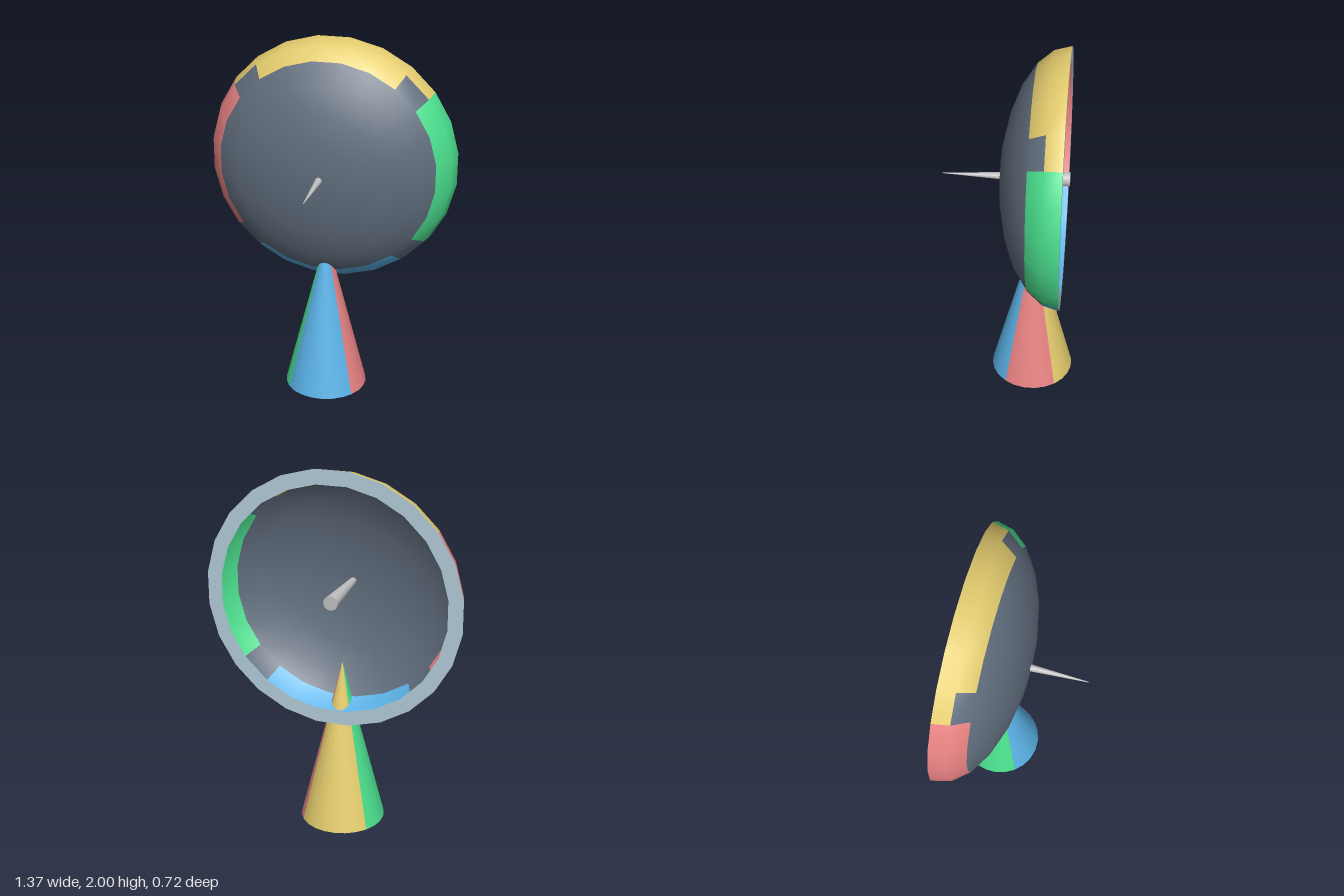
import * as THREE from 'three';

const mat = (name, color, side = THREE.FrontSide) => {
  const m = new THREE.MeshStandardMaterial({ color, side });
  m.name = name;
  return m;
};
const rad = THREE.MathUtils.degToRad;

const SEGS = 24, ROWS = 6;                 // dish facets around and from pole to rim
const DISH_R = 0.691, DISH_DEPTH = 0.346;
const DISH_Y = 1.315, RIM_Z = -0.293, RIM_INNER_R = 0.612;
const CONE_R = 0.231, CONE_H = 0.92, CONE_Z = -0.129;

// Colour index of a dish facet: 0 slate, 1 green, 2 yellow, 3 red, 4 blue
function patch(row, seg) {
  if (row < ROWS - 2) return 0;
  if (row === ROWS - 2 && seg % 6 === 3) return 0;   // notches between the patches
  if (seg <= 2 || seg >= 22) return 1;
  if (seg <= 9) return 2;
  if (seg <= 14) return 3;
  return 4;
}

// Flattened half sphere with its pole towards +z, grouped by patch colour
function bowl() {
  const g = new THREE.SphereGeometry(DISH_R, SEGS, ROWS, Math.PI - rad(7.5), Math.PI * 2, 0, Math.PI / 2);
  g.rotateX(Math.PI / 2);
  g.scale(1, 1, DISH_DEPTH / DISH_R);
  let start = 0;
  for (let row = 0; row < ROWS; row++) {
    const count = row === 0 ? 3 : 6;
    for (let seg = 0; seg < SEGS; seg++) {
      g.addGroup(start, count, patch(row, seg));
      start += count;
    }
  }
  return g;
}

export function createModel() {
  const slate = mat('slate', 0x606d7d, THREE.DoubleSide);
  const green = mat('green', 0x4be08e, THREE.DoubleSide);
  const yellow = mat('yellow', 0xe4cc6e, THREE.DoubleSide);
  const red = mat('red', 0xe78282, THREE.DoubleSide);
  const blue = mat('blue', 0x5bb3e8, THREE.DoubleSide);
  const rimGrey = mat('rimGrey', 0xb2ccd8, THREE.DoubleSide);
  const steel = mat('steel', 0xc0c0c0);

  const model = new THREE.Group();
  model.name = 'dishOnStand';
  const add = (parent, name, geometry, material, x, y, z) => {
    const m = new THREE.Mesh(geometry, material);
    m.name = name;
    m.position.set(x, y, z);
    parent.add(m);
  };

  // Dish: thin shell open to the back, with a flat ring around its mouth
  const dish = new THREE.Group();
  dish.name = 'dish';
  dish.position.set(0, DISH_Y, RIM_Z);
  model.add(dish);
  add(dish, 'dishShell', bowl(), [slate, green, yellow, red, blue], 0, 0, 0);
  const rim = new THREE.RingGeometry(RIM_INNER_R, DISH_R, SEGS, 1, rad(7.5));
  rim.rotateY(Math.PI);
  add(dish, 'dishRim', rim, rimGrey, 0, 0, 0);

  // Needle through the middle of the dish, pointing forward
  const back = -0.314, tip = 0.358;
  const needle = new THREE.CylinderGeometry(0.002, 0.039, tip - back, 16);
  needle.rotateX(Math.PI / 2);
  add(model, 'needle', needle, steel, 0, DISH_Y, (tip + back) / 2);

  // Cone stand in four coloured sectors, with a closed base
  const stand = new THREE.Group();
  stand.name = 'stand';
  stand.position.set(0, 0, CONE_Z);
  model.add(stand);
  const sectors = [
    ['standFront', blue, -52.5, 7],
    ['standLeft', red, 52.5, 5],
    ['standBack', yellow, 127.5, 7],
    ['standRight', green, 232.5, 5],
  ];
  for (const [name, material, from, n] of sectors) {
    const g = new THREE.ConeGeometry(CONE_R, CONE_H, n, 1, true, rad(from), rad(15 * n));
    add(stand, name, g, material, 0, CONE_H / 2, 0);
  }
  const base = new THREE.CircleGeometry(CONE_R, SEGS, rad(7.5));
  base.rotateX(Math.PI / 2);
  add(stand, 'standBase', base, slate, 0, 0, 0);

  return model;
}
